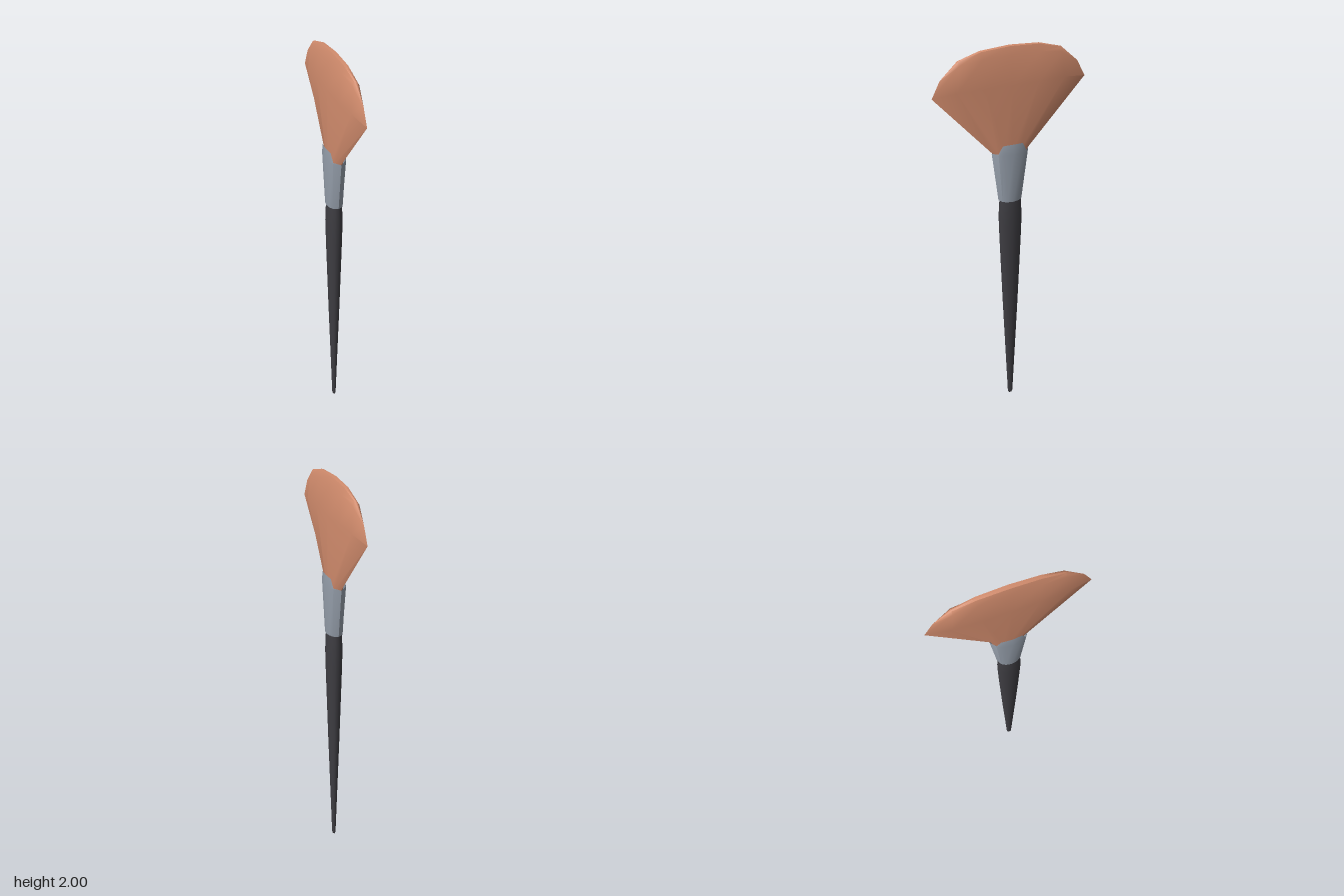
import * as THREE from 'three';
import { toCreasedNormals } from 'three/addons/utils/BufferGeometryUtils.js';

// Mirrors a quarter outline of four [x, y, z] points (edge to flat side) into a full ring
function fullRing([a, b, c, d]) {
  const m = ([x, y, z], sx, sz) => [x * sx, y, z * sz];
  return [a, b, c, d, m(c, 1, -1), m(b, 1, -1), m(a, 1, -1), m(b, -1, -1),
    m(c, -1, -1), m(d, -1, 1), m(c, -1, 1), m(b, -1, 1)];
}

// Skins a stack of rings, bottom to top
function loft(quarters, crease) {
  const rings = quarters.map(fullRing);
  const n = rings[0].length;
  const index = [];
  for (let r = 0; r < rings.length - 1; r++) {
    for (let j = 0; j < n; j++) {
      const a = r * n + j, b = r * n + (j + 1) % n;
      index.push(a, b, b + n, a, b + n, a + n);
    }
  }
  const geo = new THREE.BufferGeometry();
  geo.setAttribute('position', new THREE.Float32BufferAttribute(rings.flat(2), 3));
  geo.setIndex(index);
  return toCreasedNormals(geo, crease);
}

export function createModel() {
  const black = new THREE.MeshStandardMaterial({ color: 0x3e3d42 });
  black.name = 'handle black';
  const metal = new THREE.MeshStandardMaterial({ color: 0x929ba7, side: THREE.DoubleSide });
  metal.name = 'ferrule metal';
  const hair = new THREE.MeshStandardMaterial({ color: 0xd28c6d });
  hair.name = 'bristle tan';

  const group = new THREE.Group();
  group.name = 'fanBrush';
  const add = (name, geometry, material) => {
    const mesh = new THREE.Mesh(geometry, material);
    mesh.name = name;
    group.add(mesh);
    return mesh;
  };

  // Slim tapered handle, flattened from side to side
  const profile = [[0, 0], [0.009, 0.001], [0.013, 0.012], [0.04, 0.62], [0.055, 1.0],
    [0.059, 1.13], [0.054, 1.22], [0.05, 1.25], [0, 1.25]];
  const handle = add('handle', new THREE.LatheGeometry(
    profile.map(([r, y]) => new THREE.Vector2(r, y)), 16), black);
  handle.scale.x = 0.67;

  // Flattened ferrule with a raised lip on both broad sides
  add('ferrule', loft([
    [[0, 1.225, 0.04], [0.014, 1.225, 0.033], [0.023, 1.225, 0.018], [0.028, 1.225, 0]],
    [[0, 1.225, 0.06], [0.024, 1.225, 0.047], [0.035, 1.225, 0.027], [0.04, 1.225, 0]],
    [[0, 1.48, 0.092], [0.032, 1.48, 0.07], [0.04, 1.48, 0.048], [0.049, 1.48, 0]],
    [[0, 1.48, 0.092], [0.031, 1.487, 0.069], [0.036, 1.528, 0.05], [0.041, 1.53, 0]],
  ], 0.6), metal);

  // Fan of bristles, spreading wide and closing to a thin arched tip
  add('bristles', loft([
    [[0, 1.44, 0], [0, 1.44, 0], [0, 1.44, 0], [0, 1.44, 0]],
    [[0, 1.44, 0.075], [0.018, 1.44, 0.055], [0.024, 1.44, 0.03], [0.026, 1.44, 0]],
    [[0, 1.48, 0.088], [0.02, 1.48, 0.065], [0.026, 1.48, 0.035], [0.028, 1.48, 0]],
    [[0, 1.8, 0.37], [0.026, 1.82, 0.26], [0.032, 1.82, 0.13], [0.033, 1.82, 0]],
    [[0, 1.88, 0.33], [0.016, 1.94, 0.245], [0.02, 1.955, 0.135], [0.021, 1.96, 0]],
    [[0, 1.88, 0.33], [0.006, 1.957, 0.245], [0.009, 1.988, 0.14], [0.01, 1.997, 0.0]],
    [[0, 1.88, 0.33], [0, 1.96, 0.245], [0, 1.991, 0.14], [0, 2.0, 0]],
  ], 0.7), hair);

  return group;
}
